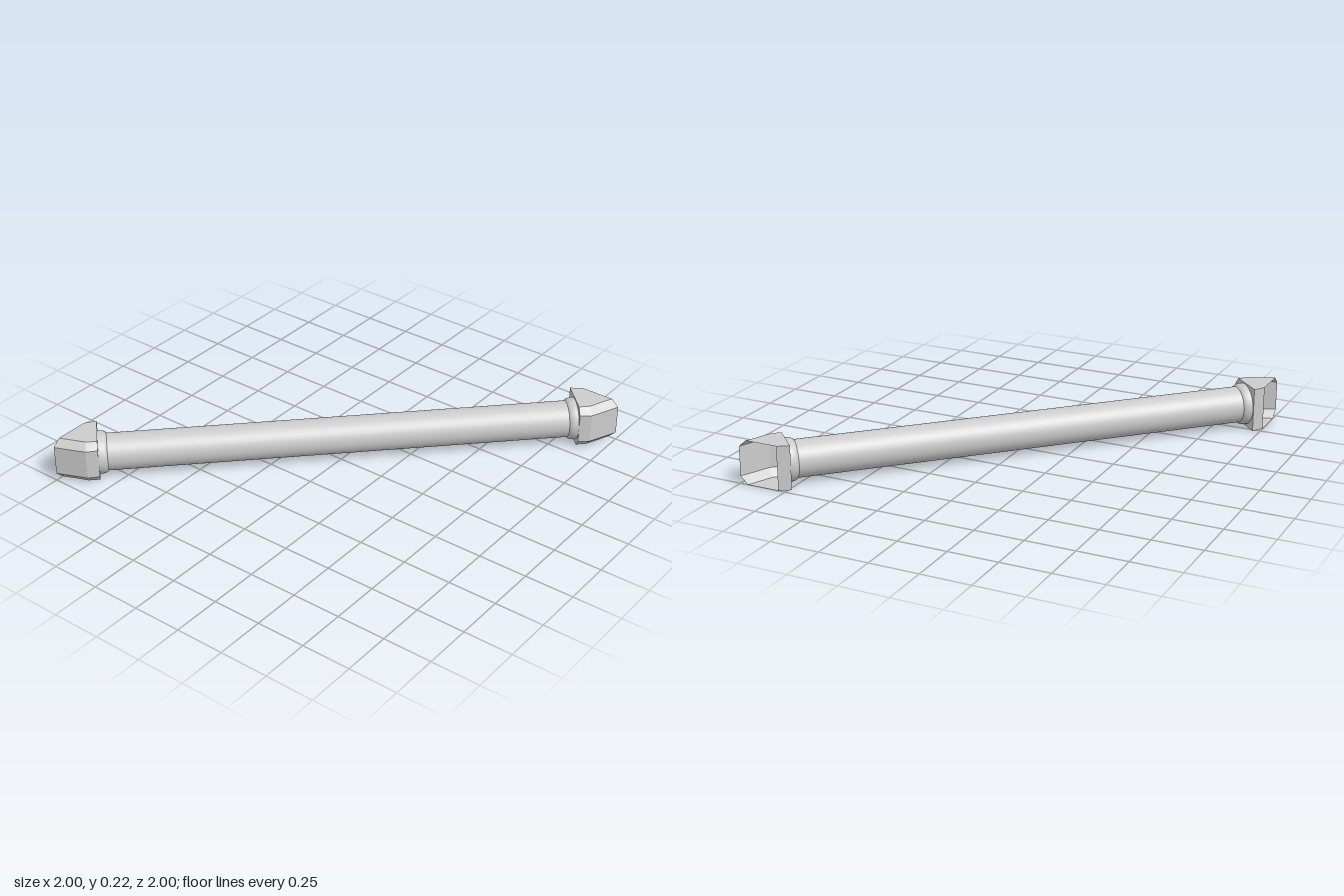
import * as THREE from 'three';

const MID_Y = 0.1125; // height of the rod axis
const MID_Z = -0.051; // sideways offset of the rod axis

// Hollow end bracket: outlines (along rod, across rod) stacked at four heights,
// with chamfered outer edges and an open mouth on the wall side.
function bracketGeometry(side) {
  const full = [[1.2, -0.163], [1.263, -0.151], [1.412, -0.002], [1.26, 0.06], [1.2, 0.056]];
  const inset = [[1.2, -0.163], [1.263, -0.151], [1.384, -0.03], [1.256, 0.024], [1.2, 0.024]];
  const levels = [[0, inset], [0.038, full], [0.19, full], [0.225, inset]];
  const rings = levels.map(([y, outline]) => outline.map(([u, v]) => [u * side, y, v]));
  const positions = [];
  const triangle = (a, b, c) => positions.push(...a, ...(side > 0 ? b : c), ...(side > 0 ? c : b));

  // side walls, leaving the edge from corner 1 to corner 2 open
  for (let k = 0; k < 3; k++) {
    for (let i = 0; i < 5; i++) {
      if (i === 1) continue;
      const j = (i + 1) % 5;
      triangle(rings[k][i], rings[k + 1][i], rings[k + 1][j]);
      triangle(rings[k][i], rings[k + 1][j], rings[k][j]);
    }
  }
  // floor and roof
  for (let i = 1; i < 4; i++) {
    triangle(rings[0][0], rings[0][i], rings[0][i + 1]);
    triangle(rings[3][0], rings[3][i + 1], rings[3][i]);
  }
  const geometry = new THREE.BufferGeometry();
  geometry.setAttribute('position', new THREE.Float32BufferAttribute(positions, 3));
  geometry.computeVertexNormals();
  return geometry;
}

export function createModel() {
  const model = new THREE.Group();
  model.name = 'diagonalStrut';
  const smooth = new THREE.MeshStandardMaterial({ color: 0xcccccc });
  const faceted = new THREE.MeshStandardMaterial({
    color: 0xcccccc, flatShading: true, side: THREE.DoubleSide,
  });

  // everything is laid out along x, then turned onto the diagonal
  const strut = new THREE.Group();
  strut.name = 'strut';
  strut.rotation.y = Math.PI / 4;
  model.add(strut);

  const add = (name, geometry, material) => {
    const mesh = new THREE.Mesh(geometry, material);
    mesh.name = name;
    strut.add(mesh);
    return mesh;
  };

  // main round rod
  const rod = new THREE.CylinderGeometry(0.093, 0.093, 2.36, 40, 1, true).rotateZ(Math.PI / 2);
  add('rod', rod, smooth).position.set(0, MID_Y, MID_Z);

  // a collar and a bracket at each end
  const collarProfile = [[0.092, 1.155], [0.098, 1.16], [0.104, 1.17], [0.107, 1.185], [0.107, 1.2]]
    .map(([r, h]) => new THREE.Vector2(r, h));
  for (const side of [1, -1]) {
    const label = side > 0 ? 'left' : 'right';
    const collar = new THREE.LatheGeometry(collarProfile, 40).rotateZ(-side * Math.PI / 2);
    add(label + 'Collar', collar, smooth).position.set(0, MID_Y, MID_Z);
    add(label + 'Bracket', bracketGeometry(side), faceted);
  }
  return model;
}
